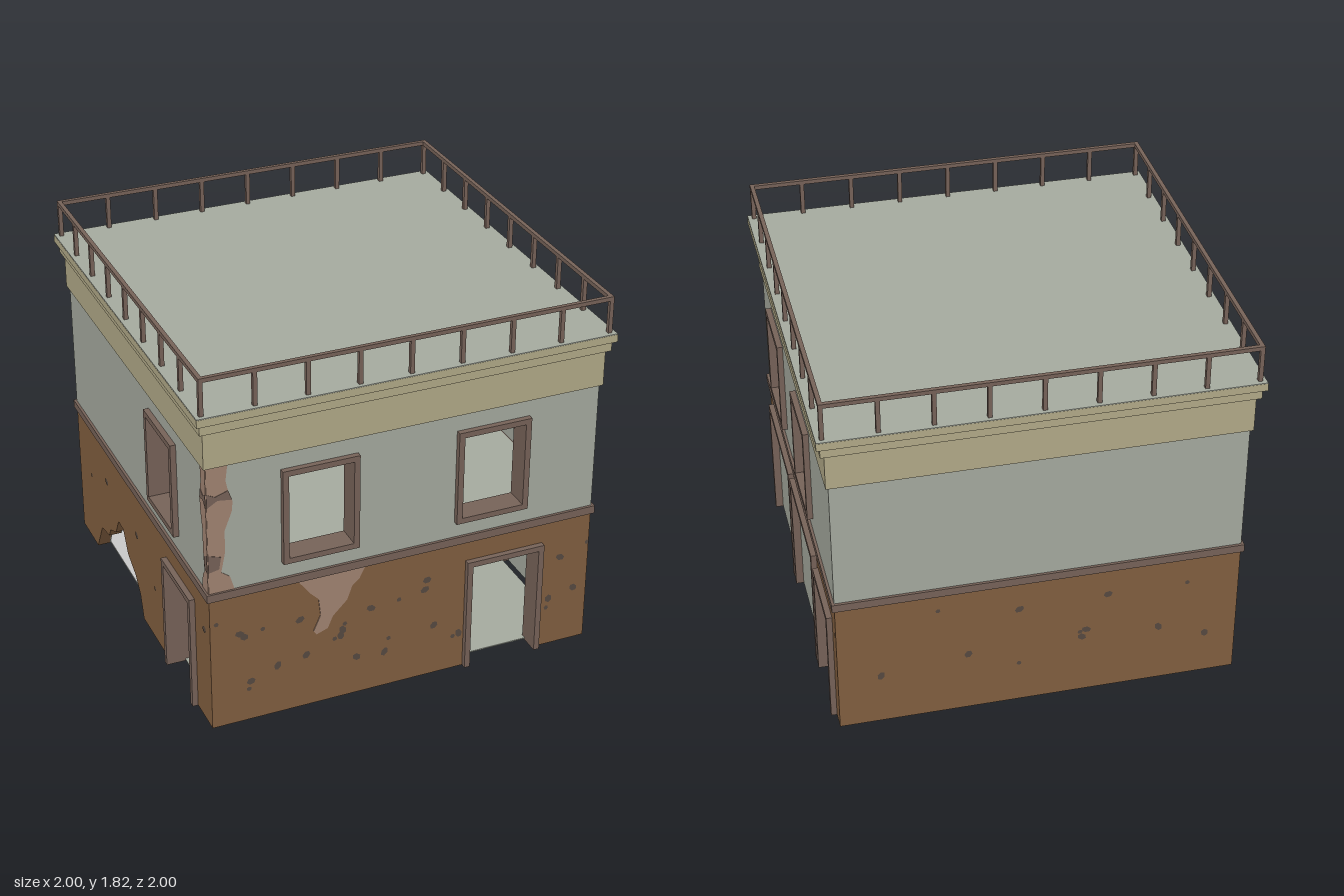
import * as THREE from 'three';

const mat = (name, color, side = THREE.FrontSide) => {
  const m = new THREE.MeshStandardMaterial({ color, side });
  m.name = name;
  return m;
};

export function createModel() {
  const brown = mat('brown render', 0x825f40);
  const sage = mat('sage wall', 0xa6aba0);
  const khaki = mat('khaki cornice', 0xb3ab89);
  const trim = mat('trim wood', 0x776359);
  const pale = mat('pale interior', 0xc9c9c9);
  const plaster = mat('bare plaster', 0xa38573);
  const chip = mat('dark chips', 0x574a41);

  const root = new THREE.Group();
  root.name = 'building';

  const add = (parent, name, geo, m) => {
    const mesh = new THREE.Mesh(geo, m);
    mesh.name = name;
    parent.add(mesh);
    return mesh;
  };
  // box from min and max corners
  const box = (parent, name, m, x0, x1, y0, y1, z0, z1) => {
    const mesh = add(parent, name, new THREE.BoxGeometry(x1 - x0, y1 - y0, z1 - z0), m);
    mesh.position.set((x0 + x1) / 2, (y0 + y1) / 2, (z0 + z1) / 2);
    return mesh;
  };
  const polygon = (pts) => new THREE.Shape(pts.map(([x, y]) => new THREE.Vector2(x, y)));
  const slab = (parent, name, m, shape, z0, z1) => {
    const geo = new THREE.ExtrudeGeometry(shape, { depth: z1 - z0, bevelEnabled: false });
    add(parent, name, geo, m).position.z = z0;
  };

  // door or window surround, in wall coordinates
  const frame = (side, name, [u0, u1, y0, y1], isDoor) => {
    const t = 0.028, g = new THREE.Group();
    g.name = name;
    side.add(g);
    box(g, 'jamb', trim, u0, u0 + t, y0, y1, 0.86, 0.977);
    box(g, 'jamb', trim, u1 - t, u1, y0, y1, 0.86, 0.977);
    box(g, 'head', trim, u0 + t, u1 - t, y1 - t, y1, 0.86, 0.977);
    if (!isDoor) box(g, 'sill', trim, u0 + t, u1 - t, y0, y0 + t, 0.86, 0.977);
  };

  // wall outline with notches cut up from the ground
  const lowerShape = (w, notches) => polygon([[-w, 0], ...notches.flat(), [w, 0], [w, 0.69], [-w, 0.69]]);
  const upperShape = (w, windows) => {
    const s = polygon([[-w, 0.73], [w, 0.73], [w, 1.37], [-w, 1.37]]);
    for (const [u0, u1, y0, y1] of windows) {
      const i = 0.01;
      s.holes.push(new THREE.Path([[u0 + i, y0 + i], [u0 + i, y1 - i], [u1 - i, y1 - i], [u1 - i, y0 + i]]
        .map(([x, y]) => new THREE.Vector2(x, y))));
    }
    return s;
  };

  // one facade: u runs to the right seen from outside, z is the outward depth
  const makeSide = (name, turn, half, { doors = [], windows = [], hole, chips, lowIn = sage, upIn = sage }) => {
    const side = new THREE.Group();
    side.name = name;
    side.rotation.y = turn;
    root.add(side);
    const notches = doors.map(([u0, u1, , y1]) =>
      [[u0 + 0.01, 0], [u0 + 0.01, y1 - 0.01], [u1 - 0.01, y1 - 0.01], [u1 - 0.01, 0]]);
    if (hole) notches.unshift(hole);
    slab(side, 'lowerWall', brown, lowerShape(half, notches), 0.89, 0.95);
    slab(side, 'lowerLining', lowIn, lowerShape(0.885, notches), 0.885, 0.89);
    slab(side, 'upperWall', sage, upperShape(half, windows), 0.89, 0.95);
    slab(side, 'upperLining', upIn, upperShape(0.885, windows), 0.885, 0.89);
    doors.forEach((d) => frame(side, 'doorFrame', d, true));
    windows.forEach((w) => frame(side, 'windowFrame', w, false));
    box(side, 'floorBand', trim, -0.963, 0.963, 0.69, 0.73, 0.88, 0.963);

    // chips in the render
    chips.forEach(([u, y], i) => {
      const c = add(side, 'chip', new THREE.CircleGeometry(0.02, 6), chip);
      c.scale.set(0.6 + 0.25 * (i % 3), 0.6 + 0.3 * ((i * 2) % 3), 1);
      c.rotation.z = i * 1.3;
      c.position.set(u, y, 0.952);
    });

    // railing along this edge
    const rail = new THREE.Group();
    rail.name = 'railing';
    side.add(rail);
    box(rail, 'topRail', trim, -0.98, 0.98, 1.8, 1.82, 0.96, 0.98);
    for (let i = 0; i < 8; i++) {
      const u = -0.97 + i * 0.2425;
      box(rail, 'post', trim, u - 0.01, u + 0.01, 1.64, 1.8, 0.96, 0.98);
    }
    return side;
  };

  const front = makeSide('frontSide', 0, 0.95, {
    doors: [[0.305, 0.7, 0, 0.585]],
    windows: [[-0.605, -0.24, 0.81, 1.285], [0.24, 0.6, 0.81, 1.285]],
    chips: [[-0.92, 0.56], [-0.81, 0.48], [-0.79, 0.46], [-0.7, 0.48], [-0.52, 0.48], [-0.76, 0.21], [-0.77, 0.17],
      [-0.63, 0.26], [-0.49, 0.28], [-0.35, 0.33], [-0.31, 0.37], [-0.32, 0.34], [-0.3, 0.4], [-0.17, 0.45],
      [-0.24, 0.2], [-0.03, 0.46], [0.1, 0.48], [0.11, 0.53], [-0.08, 0.26], [-0.1, 0.19], [0.15, 0.27],
      [0.25, 0.18], [0.28, 0.19], [0.75, 0.26], [0.74, 0.21], [0.8, 0.48], [0.88, 0.29], [0.94, 0.53]],
  });
  const right = makeSide('leftSide', Math.PI / 2, 0.89, {
    doors: [[-0.83, -0.205, 0, 0.63], [-0.17, 0.46, 0, 0.63], [0.49, 0.865, 0, 0.582]],
    windows: [[-0.695, -0.33, 0.81, 1.285], [0.05, 0.415, 0.81, 1.285]],
    chips: [[-0.92, 0.56], [-0.185, 0.45], [0.475, 0.5], [0.925, 0.53]],
  });
  makeSide('backSide', Math.PI, 0.95, {
    lowIn: khaki,
    chips: [[0.19, 0.35], [0.22, 0.36], [0.2, 0.32], [-0.48, 0.6], [-0.1, 0.54], [0.32, 0.55], [0.7, 0.55],
      [-0.75, 0.27], [-0.34, 0.32], [-0.1, 0.22], [0.57, 0.31], [0.8, 0.23]],
  });
  const left = makeSide('rightSide', -Math.PI / 2, 0.89, {
    doors: [[0.38, 0.76, 0, 0.585]],
    windows: [[0.215, 0.575, 0.81, 1.285]],
    hole: [[-0.716, 0], [-0.625, 0.16], [-0.51, 0.18], [-0.48, 0.23], [-0.39, 0.27], [-0.34, 0.36], [-0.27, 0.355],
      [-0.21, 0.25], [-0.1, 0.19], [-0.04, 0.12], [0, 0]],
    chips: [[-0.75, 0.4], [-0.5, 0.5], [-0.05, 0.45], [0.2, 0.3], [0.88, 0.5]],
  });

  // garage door panels with slits
  box(right, 'garageDoor', sage, -0.805, -0.23, 0, 0.605, 0.92, 0.94);
  box(right, 'garageDoor', sage, -0.145, 0.435, 0, 0.605, 0.92, 0.94);
  box(right, 'slit', trim, -0.64, -0.35, 0.587, 0.602, 0.94, 0.943);
  box(right, 'slit', trim, 0.07, 0.43, 0.562, 0.568, 0.94, 0.943);
  box(right, 'slit', trim, -0.14, -0.03, 0.526, 0.531, 0.94, 0.943);
  box(right, 'slit', trim, -0.14, -0.06, 0.479, 0.484, 0.94, 0.943);

  // fallen plaster on the lower front
  slab(front, 'lowerDamage', plaster, polygon([[-0.53, 0.69], [-0.47, 0.61], [-0.43, 0.57], [-0.42, 0.48],
    [-0.455, 0.4], [-0.44, 0.38], [-0.385, 0.4], [-0.36, 0.46], [-0.29, 0.53], [-0.265, 0.6], [-0.23, 0.63],
    [-0.2, 0.69]]), 0.95, 0.954);

  // worn corner of the upper wall, on both faces
  const wornEdge = [[0.12, 0.73], [0.1, 0.8], [0.06, 0.83], [0.08, 0.93], [0.08, 1.04], [0.115, 1.13], [0.12, 1.18],
    [0.1, 1.24], [0.09, 1.29], [0.1, 1.37]];
  const worn = (side, corner, dir, scale) => {
    const place = (pts) => polygon(pts.map(([d, y]) => [corner + dir * d * scale, y]));
    slab(side, 'cornerDamage', plaster, place([[0, 0.73], ...wornEdge, [0, 1.37]]), 0.95, 0.953);
    slab(side, 'cornerBrick', trim, place([[0, 1.24], [0.04, 1.22], [0.1, 1.24], [0.118, 1.19], [0.05, 1.2], [0, 1.17]]), 0.953, 0.955);
    slab(side, 'cornerBrick', trim, place([[0, 0.84], [0.05, 0.85], [0.06, 0.91], [0, 0.93]]), 0.953, 0.955);
  };
  worn(front, -0.95, 1, 1);
  worn(left, 0.95, -1, 0.6);

  // cornice steps and roof
  box(root, 'corniceBase', khaki, -0.963, 0.963, 1.37, 1.55, -0.963, 0.963);
  box(root, 'corniceStep', khaki, -0.982, 0.982, 1.55, 1.6, -0.982, 0.982);
  box(root, 'corniceLip', khaki, -1, 1, 1.6, 1.637, -1, 1);
  box(root, 'roof', sage, -0.999, 0.999, 1.637, 1.641, -0.999, 0.999);

  // ground floor in two finishes, upper floor
  box(root, 'groundFloor', sage, -0.885, 0.885, 0.006, 0.012, -0.885, 0.885);
  for (const [x0, x1, z0, z1] of [[-0.885, -0.04, -0.885, -0.6], [-0.885, -0.52, -0.6, 0.02]]) {
    box(root, 'paleFloor', pale, x0, x1, 0.004, 0.014, z0, z1);
  }
  box(root, 'upperFloor', sage, -0.885, 0.885, 0.7, 0.73, -0.885, 0.885);

  // pale linings of the rear rooms
  box(root, 'paleLining', pale, -0.88, -0.04, 0.014, 0.69, -0.886, -0.88);
  box(root, 'paleLining', pale, -0.886, -0.88, 0.37, 0.69, -0.88, 0.02);
  box(root, 'paleLining', pale, -0.886, -0.88, 0.014, 0.37, -0.88, -0.72);
  box(root, 'paleLining', pale, -0.88, 0.3, 0.73, 1.37, -0.886, -0.88);

  // upstairs partition ending in a post
  box(root, 'partition', sage, 0.303, 0.322, 0.73, 1.37, -0.885, 0.1);
  box(root, 'partitionPost', trim, 0.3, 0.325, 0.73, 1.37, 0.1, 0.125);

  return root;
}
